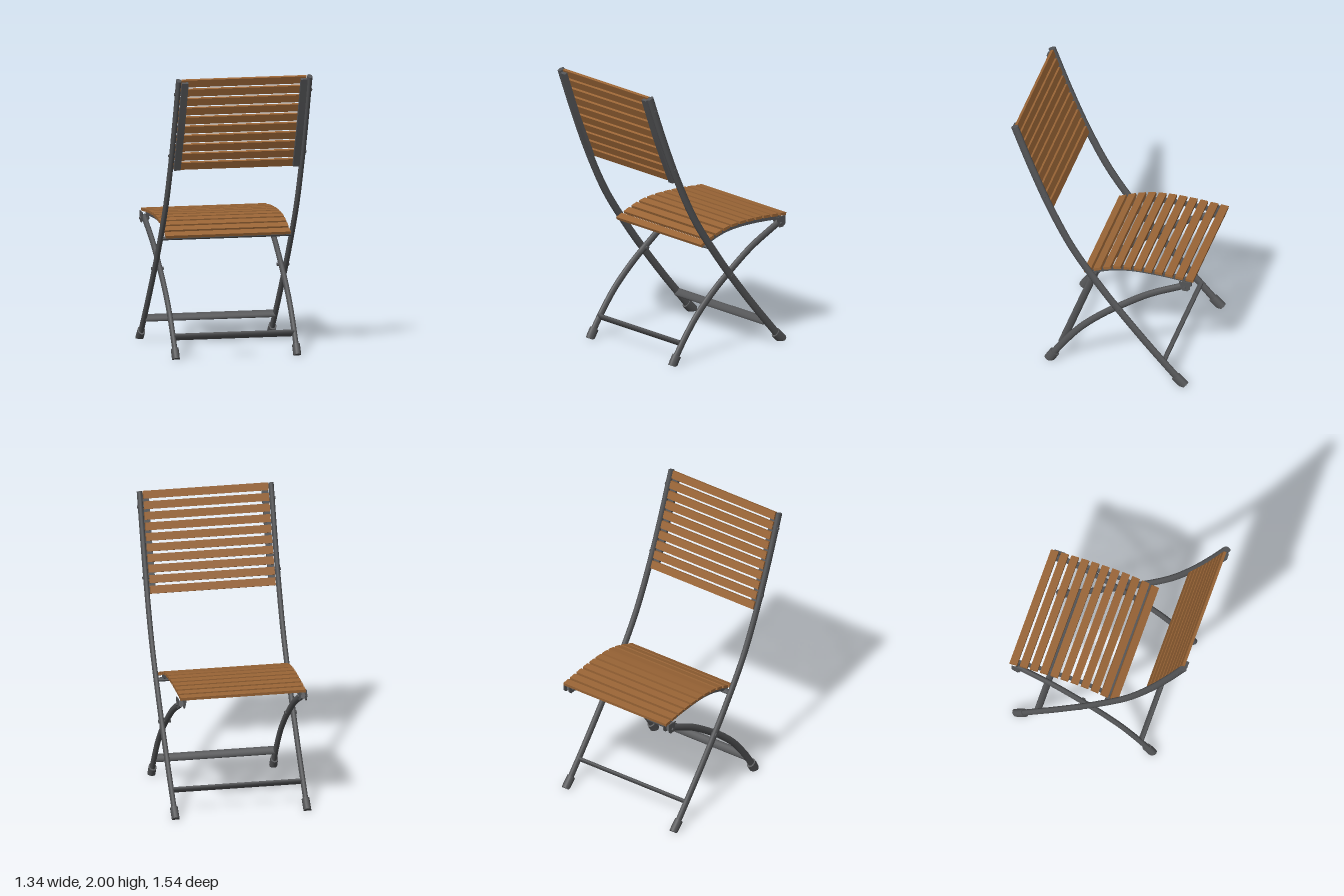
import * as THREE from 'three';

const metal = new THREE.MeshStandardMaterial({ color: 0x545557 });
metal.name = 'grey metal';
const wood = new THREE.MeshStandardMaterial({ color: 0x9a6536 });
wood.name = 'brown wood';

// Smooth curve in the side plane from [z, y] pairs
const sideCurve = (pts) =>
  new THREE.CatmullRomCurve3(pts.map(([z, y]) => new THREE.Vector3(0, y, z)));

// Oval tube swept along a side-plane curve: rx across, rn in the plane
function ovalTube(curve, rx, rn, steps = 32, sides = 16) {
  const pos = [], idx = [];
  const ring = (t) => {
    const p = curve.getPointAt(t), d = curve.getTangentAt(t);
    const n = d.clone().cross(new THREE.Vector3(1, 0, 0));
    for (let j = 0; j < sides; j++) {
      const a = (j / sides) * Math.PI * 2;
      const s = Math.sin(a) * rn;
      pos.push(Math.cos(a) * rx, Math.max(0, p.y + n.y * s), p.z + n.z * s);
    }
    return p;
  };
  for (let i = 0; i <= steps; i++) ring(i / steps);
  for (let i = 0; i < steps; i++) {
    for (let j = 0; j < sides; j++) {
      const k = (j + 1) % sides;
      const a = i * sides + j, b = i * sides + k;
      idx.push(a, b, a + sides, b, b + sides, a + sides);
    }
  }
  // End caps with their own vertices
  for (const end of [0, 1]) {
    const base = pos.length / 3;
    const p = ring(end);
    pos.push(0, Math.max(0, p.y), p.z);
    for (let j = 0; j < sides; j++) {
      const a = base + j, b = base + (j + 1) % sides;
      idx.push(base + sides, end ? a : b, end ? b : a);
    }
  }
  const g = new THREE.BufferGeometry();
  g.setAttribute('position', new THREE.Float32BufferAttribute(pos, 3));
  g.setIndex(idx);
  g.computeVertexNormals();
  return g;
}

// Flat strip following a side-plane curve, between two offsets along its normal
function strip(curve, near, far, width) {
  const a = [], b = [];
  for (let i = 0; i <= 20; i++) {
    const p = curve.getPointAt(i / 20), d = curve.getTangentAt(i / 20);
    a.push(new THREE.Vector2(p.z - d.y * near, p.y + d.z * near));
    b.unshift(new THREE.Vector2(p.z - d.y * far, p.y + d.z * far));
  }
  const g = new THREE.ExtrudeGeometry(new THREE.Shape([...a, ...b]), { depth: width, bevelEnabled: false });
  return g.rotateY(-Math.PI / 2).translate(width / 2, 0, 0);
}

export function createModel() {
  const chair = new THREE.Group();
  chair.name = 'foldingChair';
  const add = (name, geo, mat, x = 0, y = 0, z = 0) => {
    const m = new THREE.Mesh(geo, mat);
    m.name = name;
    m.position.set(x, y, z);
    chair.add(m);
    return m;
  };
  const pair = (name, geo, x, y = 0, z = 0) => {
    add(name + 'Left', geo, metal, x, y, z);
    add(name + 'Right', geo, metal, -x, y, z);
  };

  // Long legs that rise into the backrest, and short legs that hold the seat
  const longLeg = sideCurve([[-0.575, 0.03], [-0.34, 0.3], [-0.13, 0.557], [-0.02, 0.7],
    [0.2, 1.02], [0.362, 1.34], [0.495, 1.66], [0.618, 1.99]]);
  const shortLeg = sideCurve([[0.367, 0.03], [0.28, 0.16], [0.15, 0.325], [-0.01, 0.475],
    [-0.13, 0.567], [-0.345, 0.715], [-0.61, 0.848]]);
  pair('longLeg', ovalTube(longLeg, 0.018, 0.027, 48), 0.465);
  pair('shortLeg', ovalTube(shortLeg, 0.018, 0.025, 40), 0.43);

  // Feet, flattened on the floor
  pair('longLegFoot', ovalTube(sideCurve([[-0.54, 0.065], [-0.58, 0.025], [-0.605, 0.0]]), 0.027, 0.036, 8), 0.465);
  pair('shortLegFoot', ovalTube(sideCurve([[0.34, 0.068], [0.367, 0.025], [0.38, 0.0]]), 0.027, 0.036, 8), 0.43);

  // Cross bars between the legs and under the back of the seat
  const bar = (name, len, y, z, tilt, ry, rz) => {
    const g = new THREE.CylinderGeometry(1, 1, len, 16).rotateZ(Math.PI / 2).scale(1, ry, rz);
    add(name, g, metal, 0, y, z).rotation.x = tilt;
  };
  bar('frontCrossBar', 0.92, 0.165, -0.45, 0.85, 0.014, 0.03);
  bar('rearCrossBar', 0.85, 0.145, 0.295, -0.95, 0.014, 0.03);
  bar('seatCrossBar', 0.92, 0.8, 0.06, 0, 0.014, 0.022);

  // Slats laid at even spacing along a curve
  const slats = (name, curve, count, shift) => {
    for (let i = 0; i < count; i++) {
      const t = i / (count - 1);
      const p = curve.getPointAt(t), d = curve.getTangentAt(t);
      const s = add(name + (i + 1), new THREE.BoxGeometry(0.884, 0.02, 0.055), wood,
        0, p.y + d.z * shift, p.z - d.y * shift);
      s.rotation.x = -Math.atan2(d.y, d.z);
    }
  };
  const seat = sideCurve([[-0.632, 0.897], [-0.45, 0.911], [-0.3, 0.915], [-0.2, 0.911],
    [-0.1, 0.897], [0, 0.868], [0.1, 0.828]]);
  const back = sideCurve([[0.367, 1.352], [0.495, 1.66], [0.607, 1.966]]);
  slats('seatSlat', seat, 11, 0);
  slats('backSlat', back, 10, 0.004);

  // Rails that carry the slats
  pair('seatRail', strip(seat, -0.04, -0.01, 0.022), 0.405);
  const backRailPath = sideCurve([[0.36, 1.335], [0.495, 1.66], [0.612, 1.98]]);
  pair('backRail', strip(backRailPath, -0.03, -0.006, 0.046), 0.422);

  // Hinge brackets at the front of the seat
  const plate = new THREE.Shape([[-0.64, 0.89], [-0.64, 0.83], [-0.62, 0.812], [-0.585, 0.812],
    [-0.56, 0.885]].map(([z, y]) => new THREE.Vector2(z, y)));
  const plateGeo = new THREE.ExtrudeGeometry(plate, { depth: 0.006, bevelEnabled: false }).rotateY(-Math.PI / 2);
  pair('hingePlateOuter', plateGeo.clone().translate(0.003, 0, 0), 0.452);
  pair('hingePlateInner', plateGeo.clone().translate(0.003, 0, 0), 0.408);

  // Bolts: hinge, leg crossing and backrest
  const bolt = (len, r) => new THREE.CylinderGeometry(r, r, len, 12).rotateZ(Math.PI / 2);
  pair('hingeBolt', bolt(0.07, 0.01), 0.43, 0.84, -0.6);
  pair('pivotBolt', bolt(0.085, 0.013), 0.445, 0.56, -0.13);
  pair('lowerBackBolt', bolt(0.05, 0.011), 0.463, 1.43, 0.402);
  pair('upperBackBolt', bolt(0.05, 0.011), 0.463, 1.89, 0.581);

  // The chair stands turned on the floor
  chair.rotation.y = THREE.MathUtils.degToRad(20);
  const model = new THREE.Group();
  model.name = 'chair';
  model.add(chair);
  return model;
}
